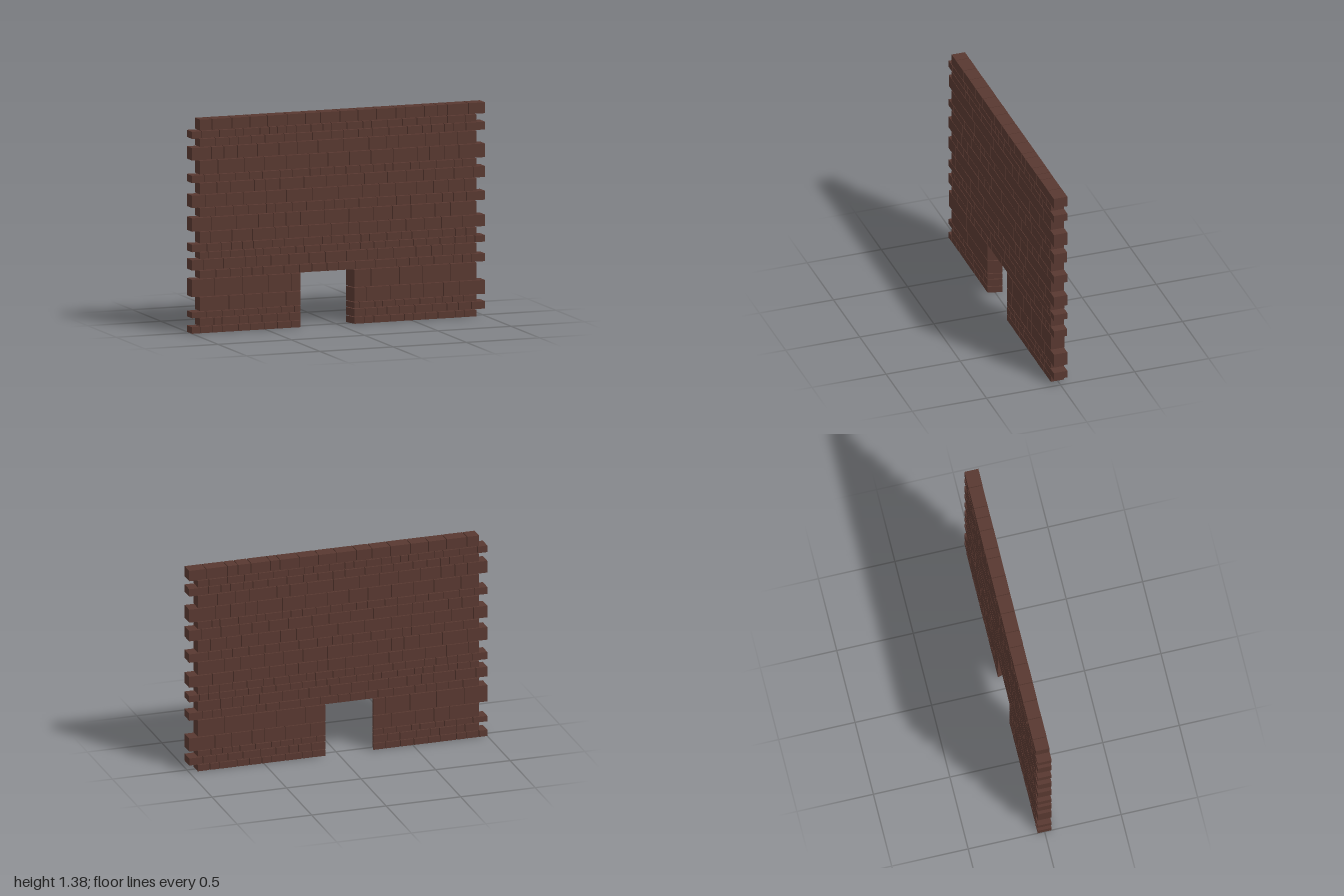
import * as THREE from 'three';

const GAP = 0.005;      // open joint between bricks and courses
const HALF_DEPTH = 0.046;
const SPLAY = 0.024;    // doorway is wider at the front by this much per side
const DOOR = { left: -0.235, right: 0.086, courses: 5 };

// Heights of the course joints, from the ground up
const COURSES = [0, 0.047, 0.1, 0.142, 0.236, 0.352, 0.407, 0.478, 0.525, 0.578, 0.657,
  0.748, 0.81, 0.894, 0.97, 1.022, 1.115, 1.2, 1.255, 1.305, 1.38];

function seeded(seed) {
  return () => {
    seed = (seed * 16807) % 2147483647;
    return seed / 2147483647;
  };
}

// One brick; splayStart / splayEnd shift the front corners of that end along x
function brickGeometry(x0, x1, y0, y1, halfDepth, splayStart, splayEnd) {
  const geometry = new THREE.BoxGeometry(x1 - x0, y1 - y0, halfDepth * 2);
  geometry.translate((x0 + x1) / 2, (y0 + y1) / 2, 0);
  const p = geometry.attributes.position;
  const middle = (x0 + x1) / 2;
  for (let i = 0; i < p.count; i++) {
    if (p.getZ(i) > 0) p.setX(i, p.getX(i) + (p.getX(i) < middle ? splayStart : splayEnd));
  }
  geometry.computeVertexNormals();
  return geometry;
}

// Uneven joints dividing a run into bricks; taller courses have longer bricks
function jointsAlong(start, end, height, random) {
  const count = Math.max(2, Math.round((end - start) / (0.04 + 1.1 * height)));
  const lengths = Array.from({ length: count }, () => 0.6 + 0.8 * random());
  const total = lengths.reduce((a, b) => a + b, 0);
  const joints = [start];
  for (const length of lengths) joints.push(joints[joints.length - 1] + (length / total) * (end - start));
  return joints;
}

export function createModel() {
  const wall = new THREE.Group();
  wall.name = 'brickWall';
  const material = new THREE.MeshStandardMaterial({ color: 0x583830 });
  const random = seeded(4177);

  for (let row = 0; row < COURSES.length - 1; row++) {
    const course = new THREE.Group();
    course.name = `course${row + 1}`;
    const y0 = COURSES[row];
    const y1 = COURSES[row + 1] - GAP;

    // Courses shift alternately so both wall ends are toothed
    const start = row % 2 ? -0.945 : -1;
    const end = row % 2 ? 1 : 0.942;
    const runs = row < DOOR.courses
      ? [[start, DOOR.left, 0, -SPLAY], [DOOR.right, end, SPLAY, 0]]
      : [[start, end, 0, 0]];

    for (const [runStart, runEnd, splayStart, splayEnd] of runs) {
      const joints = jointsAlong(runStart, runEnd, y1 - y0, random);
      const last = joints.length - 2;
      for (let i = 0; i <= last; i++) {
        const x0 = joints[i] + (i > 0 ? GAP / 2 : 0);
        const x1 = joints[i + 1] - (i < last ? GAP / 2 : 0);
        const halfDepth = HALF_DEPTH - 0.0015 * random();
        const brick = new THREE.Mesh(
          brickGeometry(x0, x1, y0, y1, halfDepth, i === 0 ? splayStart : 0, i === last ? splayEnd : 0),
          material
        );
        brick.name = 'brick';
        course.add(brick);
      }
    }
    wall.add(course);
  }
  return wall;
}
